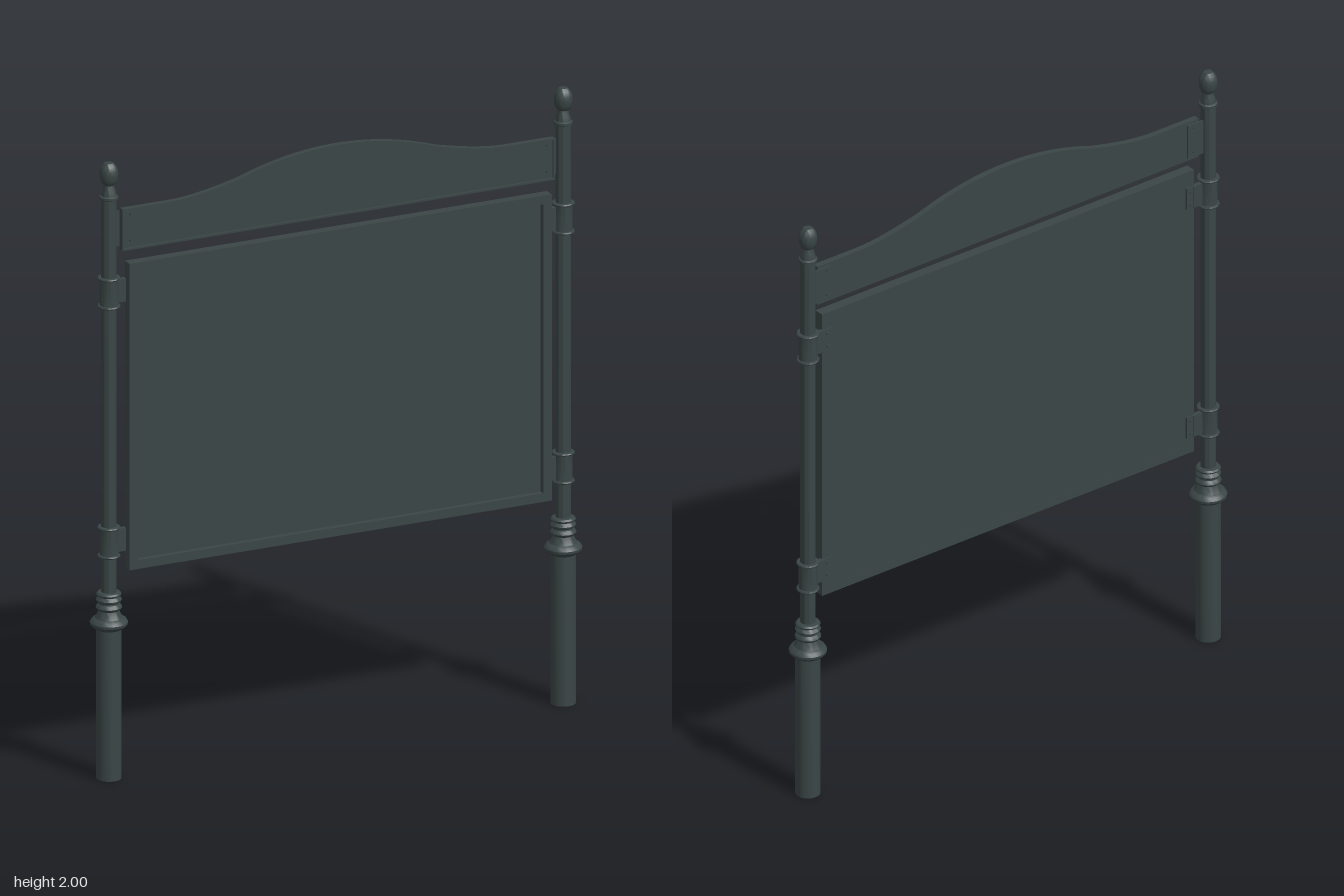
import * as THREE from 'three';
import { toCreasedNormals } from 'three/addons/utils/BufferGeometryUtils.js';

const material = new THREE.MeshStandardMaterial({ color: 0x3a4545 });
const POST_X = 0.777;

function add(parent, name, geometry, x = 0, y = 0, z = 0) {
  const mesh = new THREE.Mesh(geometry, material);
  mesh.name = name;
  mesh.position.set(x, y, z);
  parent.add(mesh);
  return mesh;
}

function box(parent, name, x0, x1, y0, y1, z0, z1) {
  return add(parent, name, new THREE.BoxGeometry(x1 - x0, y1 - y0, z1 - z0),
    (x0 + x1) / 2, (y0 + y1) / 2, (z0 + z1) / 2);
}

function lathe(points) {
  const profile = points.map(([r, y]) => new THREE.Vector2(r, y));
  return toCreasedNormals(new THREE.LatheGeometry(profile, 32), 0.6);
}

function extrude(shape, depth) {
  const geometry = new THREE.ExtrudeGeometry(shape, { depth, bevelEnabled: false, curveSegments: 24 });
  return toCreasedNormals(geometry, 0.5);
}

function rectangle(PathType, x0, x1, y0, y1) {
  return new PathType([[x0, y0], [x1, y0], [x1, y1], [x0, y1]].map(([x, y]) => new THREE.Vector2(x, y)));
}

function roundHole(x, y, r) {
  return new THREE.Path().absarc(x, y, r, 0, Math.PI * 2, true);
}

// Arched outline of the header board, shrunk inwards by d
function headerOutline(d) {
  const half = [];
  const shoulder = 0.34;
  for (let i = 0; i <= 40; i++) {
    const x = 0.58 * (1 - i / 40);
    // A shallow dome that blends into the flat ends
    const t = (0.58 - x) / (0.58 - shoulder);
    const y = x > shoulder ? 1.845 + 0.036 * t * t * (1.5 - 0.5 * t)
      : 1.881 + 0.059 * (1 - (x / shoulder) ** 2);
    half.push(new THREE.Vector2(x, y - d));
  }
  const mirrored = half.slice(0, -1).reverse().map((p) => new THREE.Vector2(-p.x, p.y));
  const w = 0.74 - d;
  return [
    new THREE.Vector2(-w, 1.71 + d), new THREE.Vector2(w, 1.71 + d),
    new THREE.Vector2(w, 1.845 - d), ...half, ...mirrored,
    new THREE.Vector2(-w, 1.845 - d),
  ];
}

// Turned post with a moulded collar and an egg-shaped finial
function buildPost() {
  const post = new THREE.Group();
  post.name = 'post';
  add(post, 'postBase', lathe([[0, 0], [0.039, 0], [0.039, 0.49]]));
  add(post, 'postCollar', lathe([
    [0.039, 0.485], [0.048, 0.49], [0.058, 0.5], [0.059, 0.508], [0.053, 0.517], [0.043, 0.522],
    [0.036, 0.535], [0.032, 0.546], [0.038, 0.55], [0.041, 0.556], [0.038, 0.562], [0.032, 0.567],
    [0.032, 0.572], [0.038, 0.576], [0.04, 0.581], [0.036, 0.587], [0.032, 0.591],
    [0.037, 0.594], [0.039, 0.599], [0.035, 0.604], [0.024, 0.606],
  ]));
  add(post, 'postShaft', lathe([[0.024, 0.6], [0.024, 1.885]]));
  add(post, 'finial', lathe([
    [0.024, 1.878], [0.029, 1.881], [0.03, 1.885], [0.029, 1.889], [0.024, 1.892], [0.022, 1.905],
    [0.017, 1.92], [0.016, 1.926], [0.022, 1.931], [0.027, 1.944], [0.029, 1.96],
    [0.028, 1.973], [0.023, 1.987], [0.014, 1.997], [0, 2],
  ]));
  return post;
}

// Sleeve clamp with rings, arm and rear fixing plate, built on the +x side
function buildClamp(y, side) {
  const clamp = new THREE.Group();
  clamp.name = 'panelClamp';
  add(clamp, 'clampSleeve', lathe([
    [0.024, -0.05], [0.034, -0.049], [0.036, -0.046], [0.034, -0.042], [0.029, -0.041],
    [0.029, 0.041], [0.034, 0.042], [0.036, 0.046], [0.034, 0.049], [0.024, 0.05],
  ]), side * POST_X, y);
  const arm = box(clamp, 'clampArm', 0.715, 0.755, y - 0.037, y + 0.037, -0.008, 0.008);
  arm.position.x *= side;
  const plate = box(clamp, 'fixingPlate', 0.69, 0.725, y - 0.037, y + 0.037, -0.006, 0.002);
  plate.position.x *= side;
  for (const dy of [-0.022, 0.022]) {
    const bolt = add(clamp, 'clampBolt', new THREE.CylinderGeometry(0.006, 0.006, 0.006, 12), side * 0.705, y + dy, -0.008);
    bolt.rotation.x = Math.PI / 2;
  }
  return clamp;
}

export function createModel() {
  const model = new THREE.Group();
  model.name = 'noticeBoard';

  // Posts, clamps and header brackets on both sides
  for (const side of [-1, 1]) {
    const post = buildPost();
    post.position.x = side * POST_X;
    model.add(post);
    for (const y of [0.768, 1.578]) model.add(buildClamp(y, side));

    const xs = [side * 0.695, side * 0.76].sort((a, b) => a - b);
    const bracket = rectangle(THREE.Shape, xs[0], xs[1], 1.72, 1.835);
    for (const y of [1.735, 1.82]) bracket.holes.push(roundHole(side * 0.712, y, 0.004));
    add(model, 'headerBracket', extrude(bracket, 0.006), 0, 0, -0.006);
  }

  // Header board with screw holes and a narrow raised rim
  const header = new THREE.Shape(headerOutline(0));
  for (const x of [-0.712, 0.712]) {
    for (const y of [1.735, 1.82]) header.holes.push(roundHole(x, y, 0.004));
  }
  add(model, 'headerBoard', extrude(header, 0.012));
  const rim = new THREE.Shape(headerOutline(0));
  rim.holes.push(new THREE.Path(headerOutline(0.006)));
  add(model, 'headerRim', extrude(rim, 0.01), 0, 0, 0.01);

  // Display panel: backing sheet and raised frame
  box(model, 'panelSheet', -0.715, 0.715, 0.68, 1.665, 0, 0.014);
  const frame = rectangle(THREE.Shape, -0.722, 0.722, 0.675, 1.67);
  frame.holes.push(rectangle(THREE.Path, -0.693, 0.693, 0.703, 1.642));
  add(model, 'panelFrame', extrude(frame, 0.034), 0, 0, -0.001);

  return model;
}
